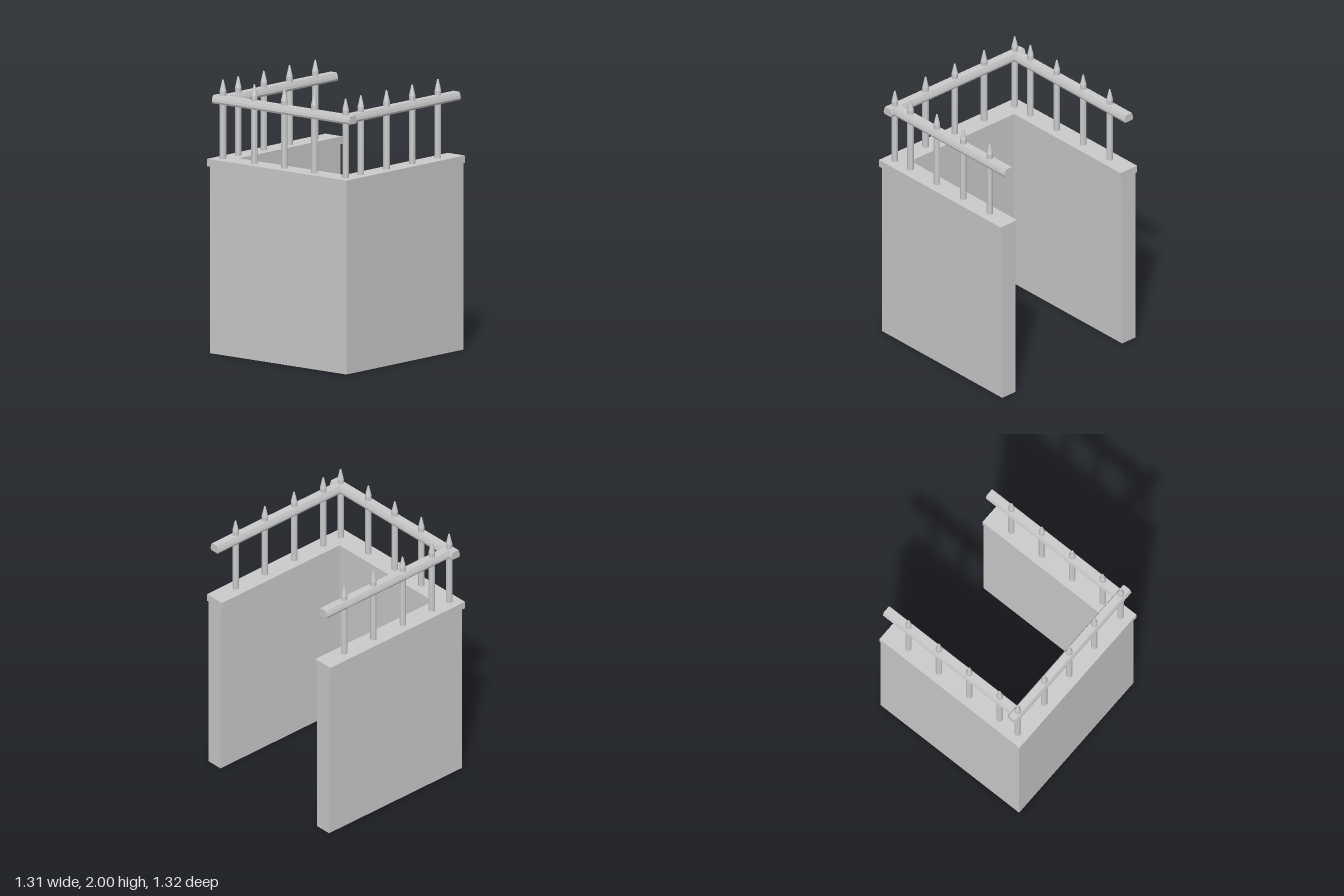
import * as THREE from 'three';

const material = new THREE.MeshStandardMaterial({ color: 0xcccccc, flatShading: true });

function shapeOf(points) {
  return new THREE.Shape(points.map(([x, y]) => new THREE.Vector2(x, y)));
}

// U-shaped slab, open towards +x
function uSlab(name, outerX, innerX, outerZ, innerZ, y0, y1) {
  const end = 0.65;
  const shape = shapeOf([
    [end, -outerZ], [end, -innerZ], [innerX, -innerZ], [innerX, innerZ],
    [end, innerZ], [end, outerZ], [outerX, outerZ], [outerX, -outerZ],
  ]);
  const geometry = new THREE.ExtrudeGeometry(shape, { depth: y1 - y0, bevelEnabled: false });
  geometry.rotateX(-Math.PI / 2).translate(0, y0, 0);
  const mesh = new THREE.Mesh(geometry, material);
  mesh.name = name;
  return mesh;
}

// Handrail with a flat base and a chamfered top, running along z
function rail(name, length) {
  const profile = shapeOf([
    [-0.036, 1.82], [0.036, 1.82], [0.042, 1.835], [0.038, 1.855],
    [0.028, 1.88], [-0.028, 1.88], [-0.038, 1.855], [-0.042, 1.835],
  ]);
  const geometry = new THREE.ExtrudeGeometry(profile, { depth: length, bevelEnabled: false });
  geometry.translate(0, 0, -length / 2);
  const mesh = new THREE.Mesh(geometry, material);
  mesh.name = name;
  return mesh;
}

export function createModel() {
  const model = new THREE.Group();
  model.name = 'balcony';

  // Walls and overhanging coping
  model.add(uSlab('walls', -0.64, -0.51, 0.645, 0.515, 0, 1.365));
  model.add(uSlab('coping', -0.655, -0.49, 0.66, 0.5, 1.365, 1.42));

  // Three handrails
  const railX = -0.573, railZ = 0.58;
  const endRail = rail('endRail', 1.3);
  endRail.position.x = railX;
  model.add(endRail);
  for (const side of [-1, 1]) {
    const sideRail = rail(side > 0 ? 'frontRail' : 'backRail', 1.19);
    sideRail.rotation.y = Math.PI / 2;
    sideRail.position.set(0.055, 0, side * railZ);
    model.add(sideRail);
  }

  // Pointed balusters
  const profile = [[0, 1.42], [0.024, 1.42], [0.024, 1.915], [0.006, 1.995], [0, 2]];
  const balusterGeometry = new THREE.LatheGeometry(
    profile.map(([r, y]) => new THREE.Vector2(r, y)), 10);
  const spots = [];
  for (const z of [-railZ, -0.283, 0, 0.283, railZ]) spots.push([railX, z]);
  for (const x of [-0.405, -0.122, 0.161, 0.445]) spots.push([x, railZ], [x, -railZ]);
  for (const [x, z] of spots) {
    const baluster = new THREE.Mesh(balusterGeometry, material);
    baluster.name = 'baluster';
    baluster.position.set(x, 0, z);
    model.add(baluster);
  }

  return model;
}
